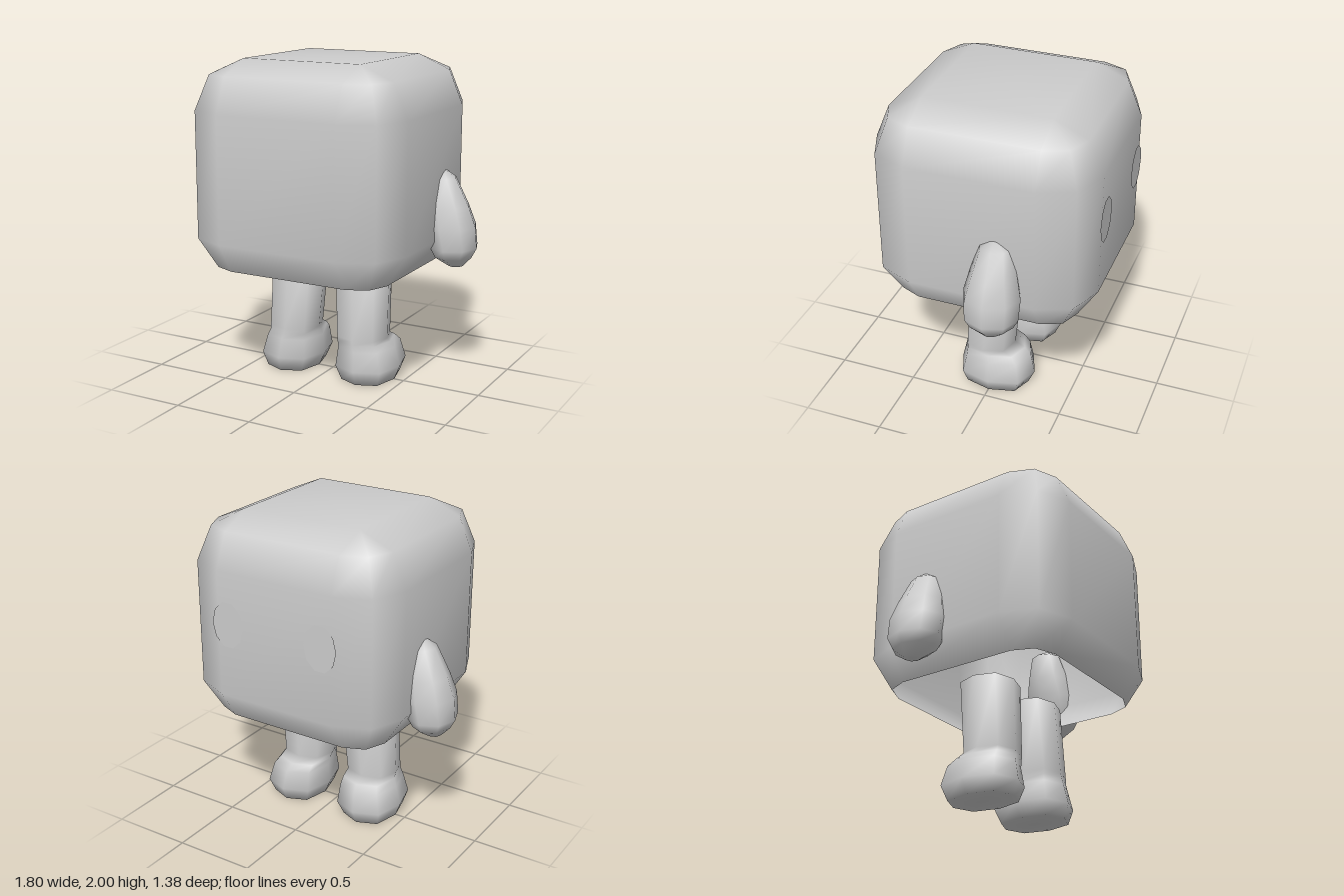
import * as THREE from 'three';
import { mergeVertices } from 'three/addons/utils/BufferGeometryUtils.js';

// Skin a stack of rings (listed top to bottom), optionally closing the ends
function loft(rings, capTop, capBottom) {
  const n = rings[0].length;
  const points = rings.flat();
  const index = [];
  for (let k = 0; k < rings.length - 1; k++) {
    for (let i = 0; i < n; i++) {
      const j = (i + 1) % n;
      const u = k * n, l = u + n;
      index.push(l + i, u + i, l + j, u + i, u + j, l + j);
    }
  }
  const cap = (start, top) => {
    const centre = new THREE.Vector3();
    for (let i = 0; i < n; i++) centre.addScaledVector(points[start + i], 1 / n);
    const c = points.push(centre) - 1;
    for (let i = 0; i < n; i++) {
      const a = start + i, b = start + (i + 1) % n;
      if (top) index.push(c, b, a);
      else index.push(c, a, b);
    }
  };
  if (capTop) cap(0, true);
  if (capBottom) cap((rings.length - 1) * n, false);
  let geometry = new THREE.BufferGeometry().setFromPoints(points);
  geometry.setIndex(index);
  geometry = mergeVertices(geometry, 1e-4);
  geometry.computeVertexNormals();
  return geometry;
}

// Rounded square ring: straight half-length 0.39 plus corner radius r
function squareRing(y, r) {
  const ring = [];
  for (let q = 0; q < 4; q++) {
    const cx = q === 0 || q === 3 ? 0.39 : -0.39;
    const cz = q < 2 ? 0.39 : -0.39;
    for (let k = 0; k < 3; k++) {
      const t = (q * 2 + k) * Math.PI / 4;
      ring.push(new THREE.Vector3(cx + r * Math.cos(t), y, cz + r * Math.sin(t)));
    }
  }
  return ring;
}

// Slightly squared oval ring; power 1 is a true ellipse
function ovalRing(y, cx, cz, rx, rz, power = 1) {
  const bend = v => Math.sign(v) * Math.abs(v) ** power;
  return Array.from({ length: 8 }, (_, i) => {
    const t = i * Math.PI / 4;
    const c = Math.abs(Math.cos(t)) < 1e-6 ? 0 : Math.cos(t);
    const s = Math.abs(Math.sin(t)) < 1e-6 ? 0 : Math.sin(t);
    return new THREE.Vector3(cx + rx * bend(c), y, cz + rz * bend(s));
  });
}

export function createModel() {
  const model = new THREE.Group();
  const grey = new THREE.MeshStandardMaterial({ color: 0xcccccc, side: THREE.DoubleSide });
  grey.name = 'plain grey';
  const add = (name, geometry) => {
    const mesh = new THREE.Mesh(geometry, grey);
    mesh.name = name;
    model.add(mesh);
    return mesh;
  };

  // Hollow rounded-cube body, open underneath
  const bodyProfile = [[2, 0], [1.91, 0.21], [1.7, 0.3], [0.92, 0.3], [0.73, 0.18]];
  add('body', loft(bodyProfile.map(([y, r]) => squareRing(y, r)), true, false))
    .position.z = 0.005;

  // y, centre x, radius x, radius z
  const armProfile = [
    [1.35, 0.67, 0, 0], [1.29, 0.66, 0.095, 0.1], [1.12, 0.7, 0.145, 0.145],
    [1.0, 0.73, 0.16, 0.175], [0.87, 0.755, 0.147, 0.17],
    [0.81, 0.755, 0.115, 0.14], [0.75, 0.77, 0.045, 0.05],
  ];
  // y, inner x, outer x, toe z, heel z
  const legProfile = [
    [0.74, 0.05, 0.4, -0.155, 0.18], [0.28, 0.08, 0.405, -0.115, 0.205],
    [0.25, 0.08, 0.41, -0.18, 0.21], [0.21, 0.08, 0.435, -0.225, 0.215],
    [0.09, 0.065, 0.47, -0.255, 0.24], [0, 0.105, 0.435, -0.215, 0.21],
  ];

  for (const side of [1, -1]) {
    const label = side > 0 ? 'left' : 'right';

    // Drop-shaped arm
    add(label + 'Arm', loft(armProfile.map(([y, cx, rx, rz]) =>
      ovalRing(y, side * cx, -0.15, rx, rz)), false, true));

    // Leg flowing into a boot-like foot
    add(label + 'Leg', loft(legProfile.map(([y, x0, x1, z0, z1]) =>
      ovalRing(y, side * (x0 + x1) / 2, (z0 + z1) / 2, (x1 - x0) / 2, (z1 - z0) / 2, 0.8)),
    true, true));

    // Flat oval eye
    const eye = add(label + 'Eye', new THREE.CircleGeometry(1, 10));
    eye.scale.set(0.11, 0.145, 1);
    eye.rotation.y = Math.PI;
    eye.position.set(side * 0.32, 1.38, -0.69);
  }
  return model;
}
